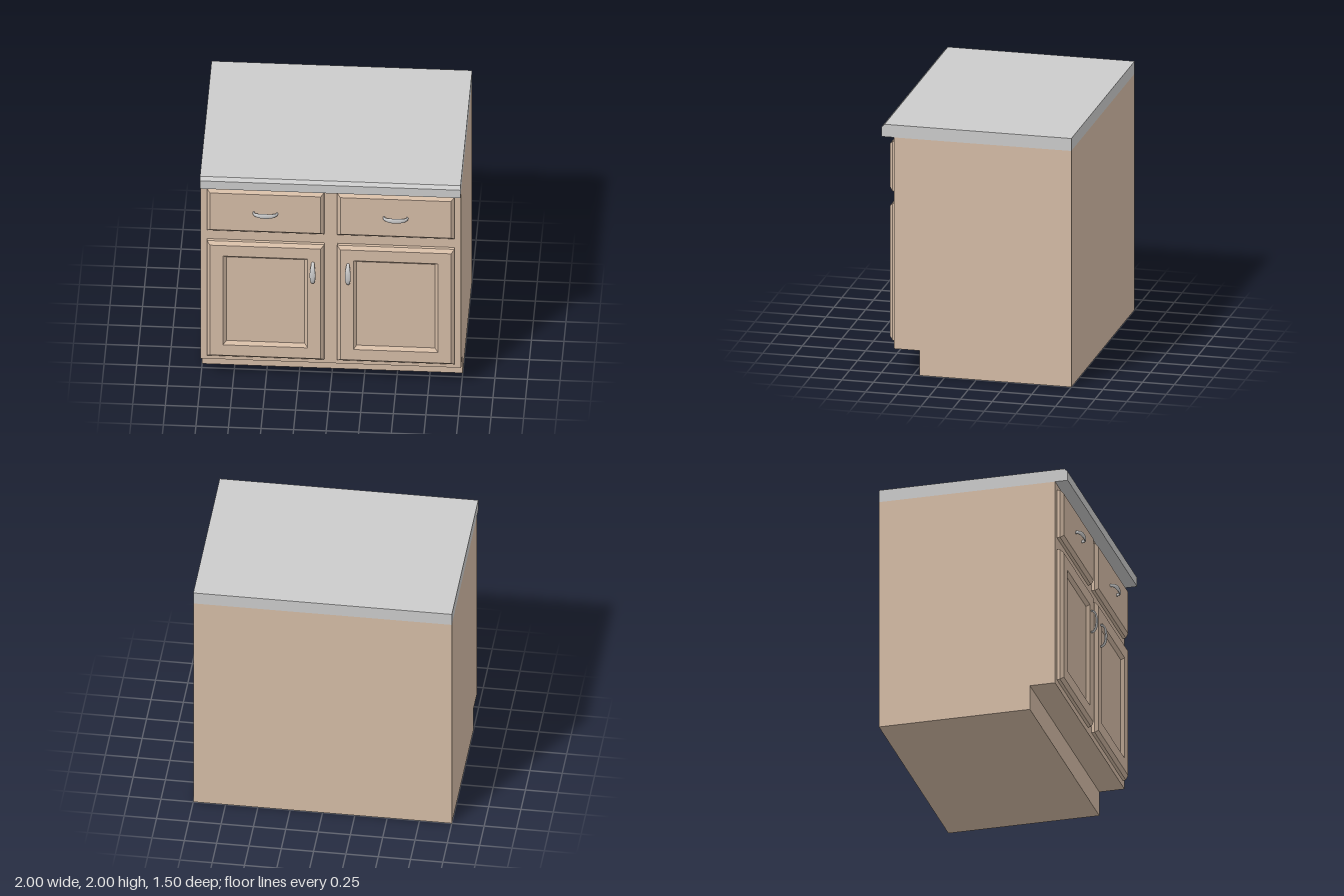
import * as THREE from 'three';

const wood = new THREE.MeshStandardMaterial({ color: 0xd5bca6, flatShading: true });
const grey = new THREE.MeshStandardMaterial({ color: 0xcccccc, flatShading: true });
const metal = new THREE.MeshStandardMaterial({ color: 0xcccccc });

// Side profile of [z, y] points, extruded along x and centred
function sideProfile(points, width) {
  const shape = new THREE.Shape(points.map(([z, y]) => new THREE.Vector2(-z, y)));
  const geometry = new THREE.ExtrudeGeometry(shape, { depth: width, bevelEnabled: false });
  return geometry.translate(0, 0, -width / 2).rotateY(Math.PI / 2);
}

// Panel front made of nested rectangles, each given as [inset, z], closed by a flat cap
function panelGeometry(width, height, steps) {
  const position = [];
  const index = [];
  for (const [inset, z] of steps) {
    const x = width / 2 - inset;
    const y = height / 2 - inset;
    position.push(-x, -y, z, x, -y, z, x, y, z, -x, y, z);
  }
  for (let s = 0; s < steps.length - 1; s++) {
    for (let i = 0; i < 4; i++) {
      const a = s * 4 + i;
      const b = s * 4 + (i + 1) % 4;
      index.push(a, b, b + 4, a, b + 4, a + 4);
    }
  }
  const c = (steps.length - 1) * 4;
  index.push(c, c + 1, c + 2, c, c + 2, c + 3);
  const indexed = new THREE.BufferGeometry();
  indexed.setAttribute('position', new THREE.Float32BufferAttribute(position, 3));
  indexed.setIndex(index);
  const geometry = indexed.toNonIndexed();
  geometry.computeVertexNormals();
  return geometry;
}

// Arched pull lying along x, widest in the middle
function handleGeometry() {
  const path = new THREE.CatmullRomCurve3([
    [-0.09, -0.005], [-0.087, 0.015], [-0.06, 0.034], [0, 0.042],
    [0.06, 0.034], [0.087, 0.015], [0.09, -0.005],
  ].map(([x, z]) => new THREE.Vector3(x, 0, z)));
  const geometry = new THREE.TubeGeometry(path, 24, 0.008, 12, false);
  const p = geometry.attributes.position;
  for (let i = 0; i < p.count; i++) {
    const t = Math.min(1, Math.abs(p.getX(i)) / 0.098);
    p.setY(i, p.getY(i) * (1.3 + 1.5 * (1 - t * t)));
  }
  geometry.computeVertexNormals();
  return geometry;
}

export function createModel() {
  const model = new THREE.Group();
  model.name = 'baseCabinet';
  const add = (name, geometry, material, x = 0, y = 0, z = 0) => {
    const mesh = new THREE.Mesh(geometry, material);
    mesh.name = name;
    mesh.position.set(x, y, z);
    model.add(mesh);
    return mesh;
  };

  // Carcass with toe kick, and worktop with a chamfered front edge
  add('carcass', sideProfile(
    [[-0.75, 0], [-0.75, 1.9], [0.65, 1.9], [0.65, 0.2], [0.45, 0.2], [0.45, 0]], 2), wood);
  add('countertop', sideProfile(
    [[-0.75, 1.9], [-0.75, 2], [0.725, 2], [0.75, 1.975], [0.75, 1.9]], 2), grey);

  // Drawers and doors with their pulls, mirrored about the middle
  const edge = [[0, 0], [0, 0.025], [0.025, 0.05]];
  const drawer = panelGeometry(0.9, 0.4, edge);
  const door = panelGeometry(0.9, 1.1, [...edge, [0.125, 0.05], [0.15, 0.025]]);
  const handle = handleGeometry();
  for (const [side, s] of [['left', 1], ['right', -1]]) {
    add(side + 'Drawer', drawer, wood, s * 0.5, 1.65, 0.65);
    add(side + 'Door', door, wood, s * 0.5, 0.8, 0.65);
    add(side + 'DrawerHandle', handle, metal, s * 0.5, 1.65, 0.7);
    add(side + 'DoorHandle', handle, metal, s * 0.135, 1.1, 0.7).rotation.z = Math.PI / 2;
  }
  return model;
}
